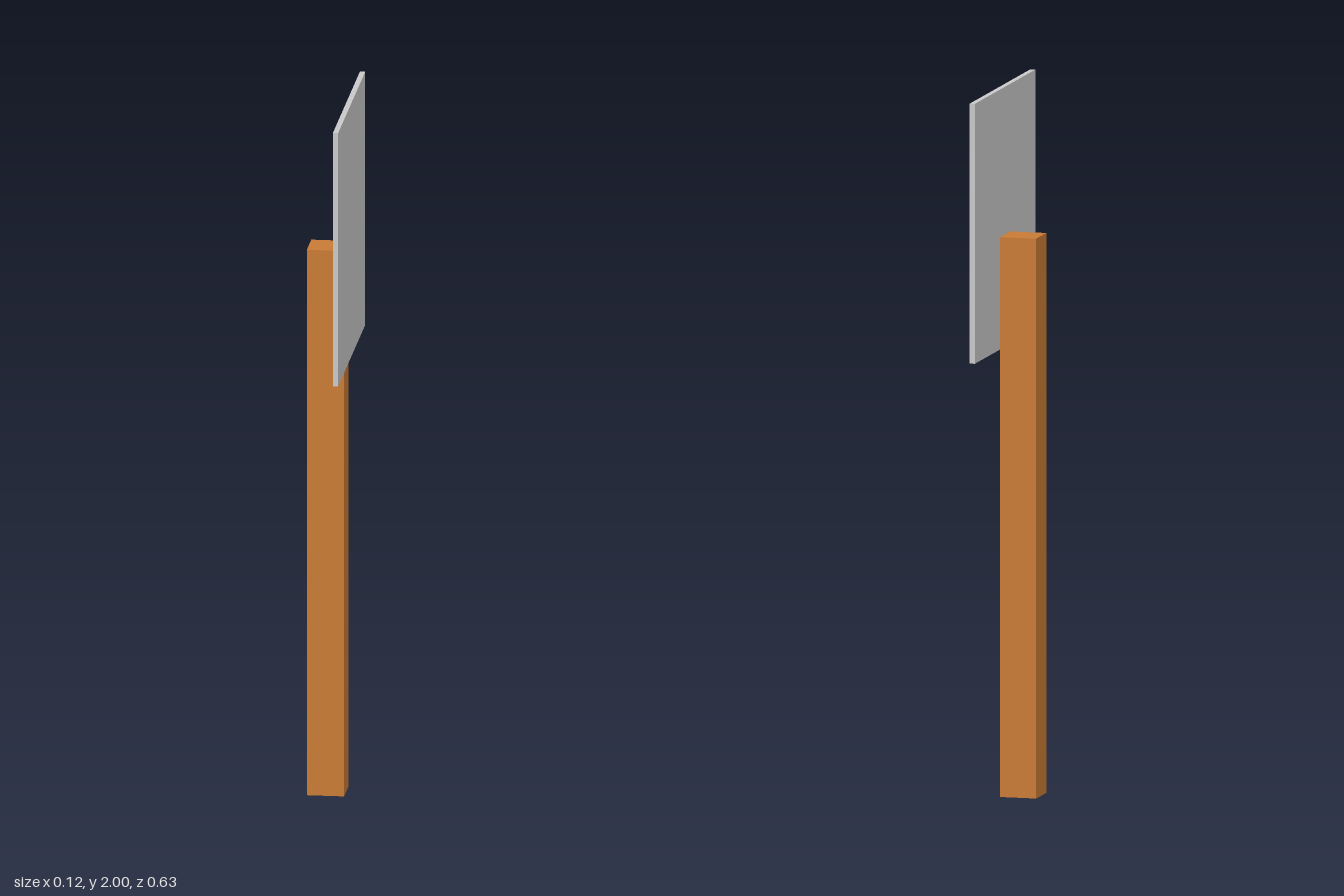
import * as THREE from 'three';

const wood = new THREE.MeshStandardMaterial({ name: 'orange wood', color: 0xc87a34 });
const grey = new THREE.MeshStandardMaterial({ name: 'light grey', color: 0xc8c8c8 });

// Box spanning two opposite corners
function boxBetween(name, min, max, material) {
  const size = max.map((v, i) => v - min[i]);
  const mesh = new THREE.Mesh(new THREE.BoxGeometry(...size), material);
  mesh.position.set(...max.map((v, i) => (v + min[i]) / 2));
  mesh.name = name;
  return mesh;
}

export function createModel() {
  const sign = new THREE.Group();
  sign.name = 'signpost';

  // Square wooden post
  sign.add(boxBetween('post', [-0.06, 0, -0.053], [0.045, 1.583, 0.053], wood));

  // Blank board fixed to the left face of the post
  sign.add(boxBetween('signBoard', [0.045, 1.265, -0.317], [0.06, 2, 0.317], grey));

  return sign;
}
